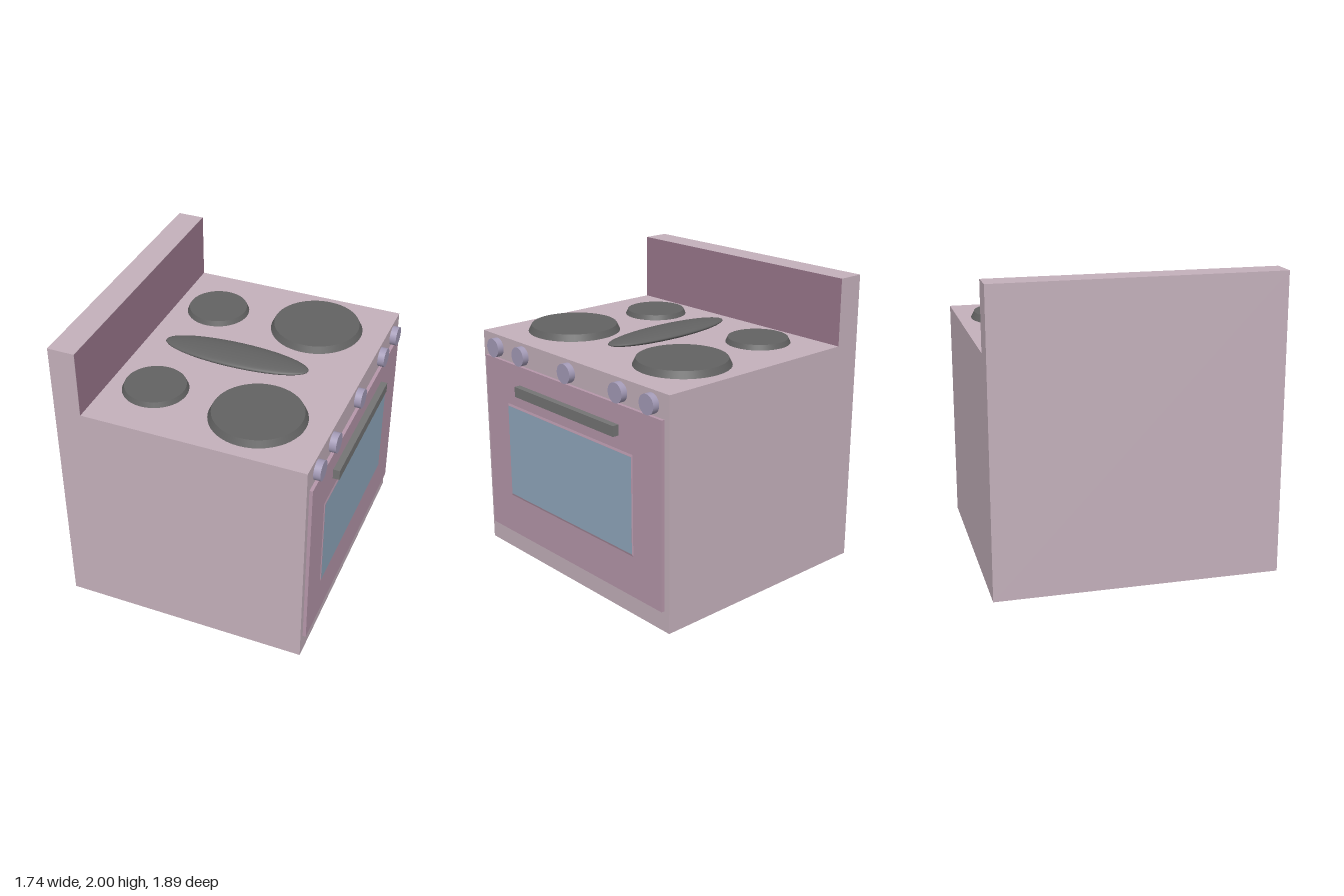
import * as THREE from 'three';

const material = (color) => new THREE.MeshStandardMaterial({ color });

export function createModel() {
  const group = new THREE.Group();
  const bodyMat = material(0xc4b0bb);
  const splashMat = material(0x9b788d);
  const doorMat = material(0xb697aa);
  const glassMat = material(0x90a8bd);
  const knobMat = material(0xa49bb7);
  const darkMat = material(0x626262);
  const handleMat = material(0x747474);

  const add = (name, geometry, mat, x, y, z) => {
    const mesh = new THREE.Mesh(geometry, mat);
    mesh.name = name;
    mesh.position.set(x, y, z);
    group.add(mesh);
    return mesh;
  };

  // Cabinet with raised back, one L-shaped profile
  const profile = new THREE.Shape([
    [-0.87, 0], [0.8, 0], [0.8, 1.55], [-0.69, 1.55], [-0.69, 2], [-0.87, 2],
  ].map(([x, y]) => new THREE.Vector2(x, y)));
  add('cabinet', new THREE.ExtrudeGeometry(profile, { depth: 1.89, bevelEnabled: false }),
    bodyMat, 0, 0, -0.945);

  // Darker panel on the splashback
  const panel = new THREE.PlaneGeometry(1.89, 0.45).rotateY(Math.PI / 2);
  add('splashbackPanel', panel, splashMat, -0.688, 1.775, 0);

  // Oven door and handle
  add('ovenDoor', new THREE.BoxGeometry(0.022, 1.25, 1.8), doorMat, 0.811, 0.765, 0);
  add('doorHandle', new THREE.BoxGeometry(0.045, 0.07, 1.02), handleMat, 0.8435, 1.225, 0);

  // Window surround: a thin plate tapering outward
  const surround = new THREE.BoxGeometry(0.006, 0.69, 1.3);
  const pos = surround.attributes.position;
  for (let i = 0; i < pos.count; i++) {
    if (pos.getX(i) > 0) {
      pos.setY(i, pos.getY(i) * 0.94);
      pos.setZ(i, pos.getZ(i) * 0.985);
    }
  }
  surround.computeVertexNormals();
  add('windowSurround', surround, doorMat, 0.8235, 0.76, 0.01);
  const glass = new THREE.PlaneGeometry(1.28, 0.648).rotateY(Math.PI / 2);
  add('ovenWindow', glass, glassMat, 0.8275, 0.76, 0.01);

  // Control knobs
  for (const z of [-0.79, -0.505, 0, 0.495, 0.78]) {
    const knob = new THREE.CylinderGeometry(0.065, 0.065, 0.045, 40).rotateZ(-Math.PI / 2);
    add('knob', knob, knobMat, 0.8225, 1.465, z);
  }

  // Hotplates: x, z, base radius, top radius, height
  for (const [x, z, base, top, h] of [
    [-0.385, -0.51, 0.215, 0.2, 0.033], [-0.385, 0.505, 0.215, 0.2, 0.033],
    [0.33, -0.545, 0.313, 0.291, 0.044], [0.33, 0.54, 0.313, 0.291, 0.044],
  ]) {
    add('hotplate', new THREE.CylinderGeometry(top, base, h, 48), darkMat, x, 1.55 + h / 2, z);
  }

  // Long oval plate in the middle
  const oval = new THREE.SphereGeometry(1, 48, 24).scale(0.505, 0.034, 0.137);
  add('ovalPlate', oval, darkMat, -0.04, 1.577, 0);

  return group;
}
